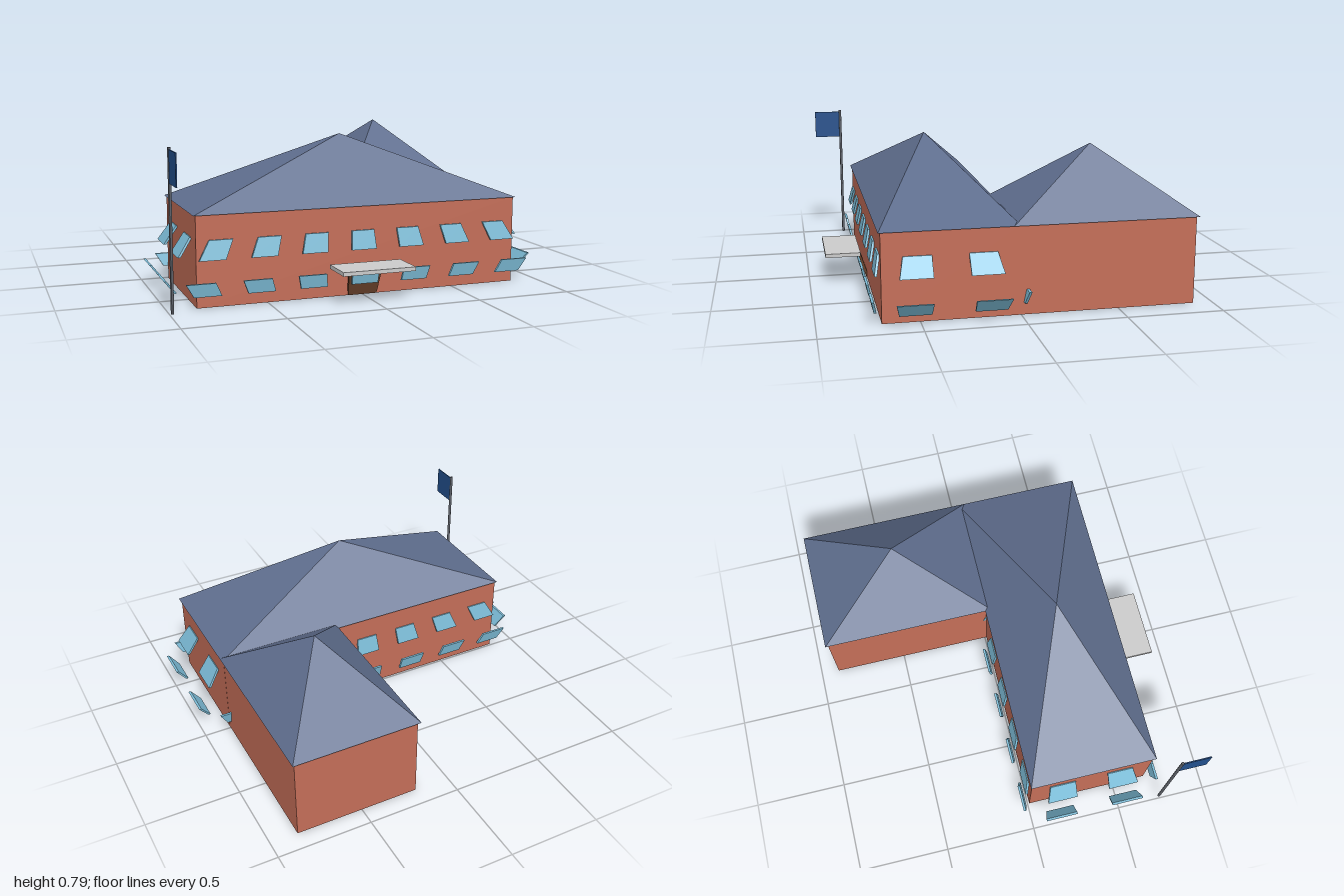
import * as THREE from 'three';

const material = (color) => new THREE.MeshStandardMaterial({ color, flatShading: true });
const brick = material(0xc46e58);
const slate = material(0x5f6e8e);
const glass = material(0x7dbdd8);
const wood = material(0x6b442c);
const steel = material(0x5c6068);
const cloth = material(0x22508c);
const stone = material(0xcccccc);

function add(parent, name, geometry, mat) {
  const mesh = new THREE.Mesh(geometry, mat);
  mesh.name = name;
  parent.add(mesh);
  return mesh;
}

// Box given by its limits on each axis
function block(parent, name, [x0, x1], [y0, y1], [z0, z1], mat) {
  const mesh = add(parent, name, new THREE.BoxGeometry(x1 - x0, y1 - y0, z1 - z0), mat);
  mesh.position.set((x0 + x1) / 2, (y0 + y1) / 2, (z0 + z1) / 2);
}

// Four-sided pyramid roof over a rectangle
function pyramid(parent, name, [x0, x1], [y0, y1], [z0, z1], mat) {
  const geometry = new THREE.ConeGeometry(Math.SQRT1_2, 1, 4);
  geometry.rotateY(Math.PI / 4);
  geometry.scale(x1 - x0, y1 - y0, z1 - z0);
  const mesh = add(parent, name, geometry, mat);
  mesh.position.set((x0 + x1) / 2, (y0 + y1) / 2, (z0 + z1) / 2);
}

// Leaning slab: each end has height y, centre u, width w and outer distance d
function slab(parent, name, bottom, top, thickness, mat) {
  const geometry = new THREE.BoxGeometry(1, 1, 1);
  const p = geometry.attributes.position;
  for (let i = 0; i < p.count; i++) {
    const end = p.getY(i) > 0 ? top : bottom;
    p.setXYZ(i, end.u + p.getX(i) * end.w, end.y, end.d - thickness * (0.5 - p.getZ(i)));
  }
  geometry.computeVertexNormals();
  return add(parent, name, geometry, mat);
}

// Window levels: height, then spacing, width and distance on long and short walls
const levels = [
  { name: 'lowerWindow',
    bottom: { y: 0.063, long: [0.269, 0.138, 0.376], short: [0.184, 0.158, 0.947] },
    top: { y: 0.13, long: [0.281, 0.145, 0.39], short: [0.19, 0.177, 1.0] } },
  { name: 'upperWindow',
    bottom: { y: 0.235, long: [0.26, 0.132, 0.367], short: [0.173, 0.164, 0.925] },
    top: { y: 0.33, long: [0.244, 0.118, 0.346], short: [0.161, 0.141, 0.86] } },
];

function windowWall(name, kind, slots, angle) {
  const wall = new THREE.Group();
  wall.name = name;
  for (const level of levels) {
    for (const slot of slots) {
      const end = (e) => ({ y: e.y, u: slot * e[kind][0], w: e[kind][1], d: e[kind][2] });
      slab(wall, level.name, end(level.bottom), end(level.top), 0.013, glass);
    }
  }
  wall.rotation.y = angle;
  wall.position.z = 0.35;
  return wall;
}

export function createModel() {
  const model = new THREE.Group();
  model.name = 'building';

  // Brick walls of the main hall and the rear wing
  block(model, 'mainWalls', [-0.855, 0.855], [0, 0.453], [0.01, 0.687], brick);
  block(model, 'wingWalls', [0.19, 0.854], [0, 0.453], [-0.9, 0.03], brick);

  // Roofs
  pyramid(model, 'mainRoof', [-0.867, 0.867], [0.452, 0.787], [0.003, 0.698], slate);
  pyramid(model, 'wingRoof', [0.178, 0.867], [0.452, 0.787], [-0.915, 0.04], slate);

  // Windows on all four sides of the main hall
  const seven = [-3, -2, -1, 0, 1, 2, 3];
  model.add(
    windowWall('frontWindows', 'long', seven, 0),
    windowWall('backWindows', 'long', seven, Math.PI),
    windowWall('leftWindows', 'short', [-1, 1], Math.PI / 2),
    windowWall('rightWindows', 'short', [-1, 1], -Math.PI / 2),
  );

  // Entrance: leaning door and canopy
  slab(model, 'door',
    { y: 0, u: 0, w: 0.154, d: 0.69 }, { y: 0.14, u: 0, w: 0.18, d: 0.735 }, 0.014, wood);
  block(model, 'canopy', [-0.19, 0.19], [0.154, 0.174], [0.728, 0.915], stone);

  // Flagpole and flag
  const pole = add(model, 'flagpole', new THREE.CylinderGeometry(0.008, 0.008, 0.788, 12), steel);
  pole.position.set(-0.985, 0.394, 0.745);
  block(model, 'flag', [-0.988, -0.982], [0.62, 0.778], [0.75, 0.9], cloth);

  return model;
}
